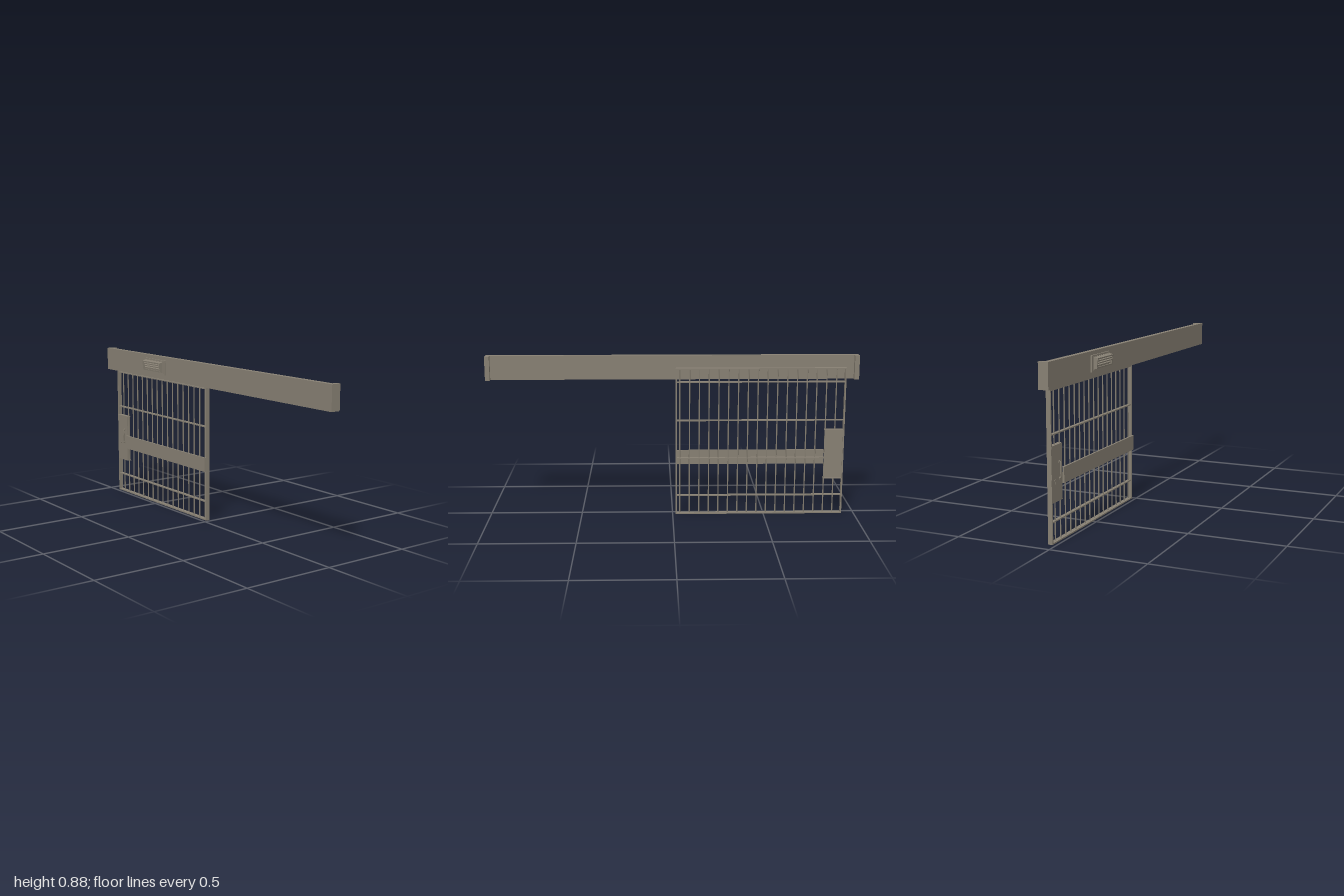
import * as THREE from 'three';

export function createModel() {
  const model = new THREE.Group();
  model.name = 'slidingBarredDoor';
  const steel = new THREE.MeshStandardMaterial({ color: 0x878073 });
  steel.name = 'painted steel';

  const add = (parent, name, geometry) => {
    const mesh = new THREE.Mesh(geometry, steel);
    mesh.name = name;
    parent.add(mesh);
    return mesh;
  };
  // Box given by its limits on each axis
  const box = (parent, name, x0, x1, y0, y1, z0, z1) => {
    const mesh = add(parent, name, new THREE.BoxGeometry(x1 - x0, y1 - y0, z1 - z0));
    mesh.position.set((x0 + x1) / 2, (y0 + y1) / 2, (z0 + z1) / 2);
    return mesh;
  };
  const group = (name) => {
    const g = new THREE.Group();
    g.name = name;
    model.add(g);
    return g;
  };

  // Overhead track cover with a return at each end
  const track = group('track');
  box(track, 'trackCover', -1, 1, 0.752, 0.882, -0.018, 0.009);
  for (const s of [-1, 1]) {
    const a = s * 1, b = s * 0.975;
    box(track, 'endReturn', Math.min(a, b), Math.max(a, b), 0.752, 0.882, -0.043, -0.018);
  }

  // Flat-bar door frame
  const door = group('door');
  const L = -0.933, R = -0.016, top = 0.815, back = -0.042, front = -0.018;
  const t = 0.007;
  box(door, 'frameSide', L, L + t, 0, top, back, front);
  box(door, 'frameSide', R - t, R, 0, top, back, front);
  box(door, 'frameBottom', L + t, R - t, 0, t, back, front);
  box(door, 'frameTop', L + t, R - t, top - t, top, back, front);

  // Cross bars
  for (let i = 0; i < 4; i++) {
    const y = 0.106 + i * 0.211;
    box(door, 'crossBar', L + t, R - t, y - 0.003, y + 0.003, -0.039, -0.021);
  }

  // Round upright bars
  const barGeometry = new THREE.CylinderGeometry(0.0035, 0.0035, top - 2 * t, 8);
  for (let i = 0; i < 17; i++) {
    add(door, 'uprightBar', barGeometry).position.set(-0.882 + i * 0.0527, top / 2, -0.03);
  }

  // Push plate across the middle
  box(door, 'middlePlate', -0.826, R, 0.279, 0.358, -0.018, -0.008);

  // Lock case with top and bottom flanges
  const lock = group('lock');
  box(lock, 'lockCase', L + 0.001, -0.828, 0.203, 0.473, -0.037, -0.0175);
  for (const y of [0.2, 0.473]) {
    box(lock, 'lockFlange', L + 0.001, -0.824, y, y + 0.003, -0.041, -0.0175);
  }

  // Bent pull handle
  const pull = new THREE.CatmullRomCurve3([
    [0.39, -0.018], [0.391, -0.012], [0.384, -0.0095],
    [0.35, -0.0095], [0.318, -0.0095], [0.311, -0.012], [0.312, -0.018],
  ].map(([y, z]) => new THREE.Vector3(-0.857, y, z)));
  add(lock, 'pullHandle', new THREE.TubeGeometry(pull, 24, 0.0035, 8));
  for (const y of [0.311, 0.39]) {
    box(lock, 'handleFoot', -0.863, -0.851, y - 0.006, y + 0.006, -0.018, -0.015);
  }

  // Keyhole cover
  const keyhole = add(lock, 'keyholeCover', new THREE.CylinderGeometry(0.006, 0.006, 0.003, 16));
  keyhole.rotation.x = Math.PI / 2;
  keyhole.position.set(-0.899, 0.306, -0.017);
  box(lock, 'keyholeTail', -0.902, -0.896, 0.288, 0.304, -0.018, -0.0155);

  // Louvred unit on the track cover: backing plates, tapered hood and slats
  const unit = group('louvreUnit');
  box(unit, 'backingPlate', -0.57, -0.364, 0.778, 0.862, 0.009, 0.017);
  box(unit, 'innerPlate', -0.56, -0.374, 0.786, 0.854, 0.017, 0.021);

  // Extrude a (z, y) outline along x
  const profile = (name, points, x0, x1) => {
    const shape = new THREE.Shape(points.map(([z, y]) => new THREE.Vector2(-z, y)));
    const geometry = new THREE.ExtrudeGeometry(shape, { depth: x1 - x0, bevelEnabled: false });
    geometry.rotateY(Math.PI / 2);
    add(unit, name, geometry).position.x = x0;
  };
  const side = [[0.02, 0.792], [0.036, 0.795], [0.043, 0.848], [0.02, 0.853]];
  profile('hoodSide', side, -0.556, -0.548);
  profile('hoodSide', side, -0.386, -0.378);
  profile('hoodTop', [[0.02, 0.846], [0.042, 0.841], [0.043, 0.848], [0.02, 0.853]], -0.548, -0.386);
  profile('hoodBottom', [[0.02, 0.792], [0.036, 0.795], [0.037, 0.802], [0.02, 0.799]], -0.548, -0.386);
  for (let i = 0; i < 3; i++) {
    const y = 0.809 + i * 0.0115, z = 0.036 + i * 0.0015;
    profile('slat', [[0.02, y + 0.003], [z, y - 0.002], [z + 0.001, y + 0.004], [0.02, y + 0.008]], -0.548, -0.386);
  }

  return model;
}
